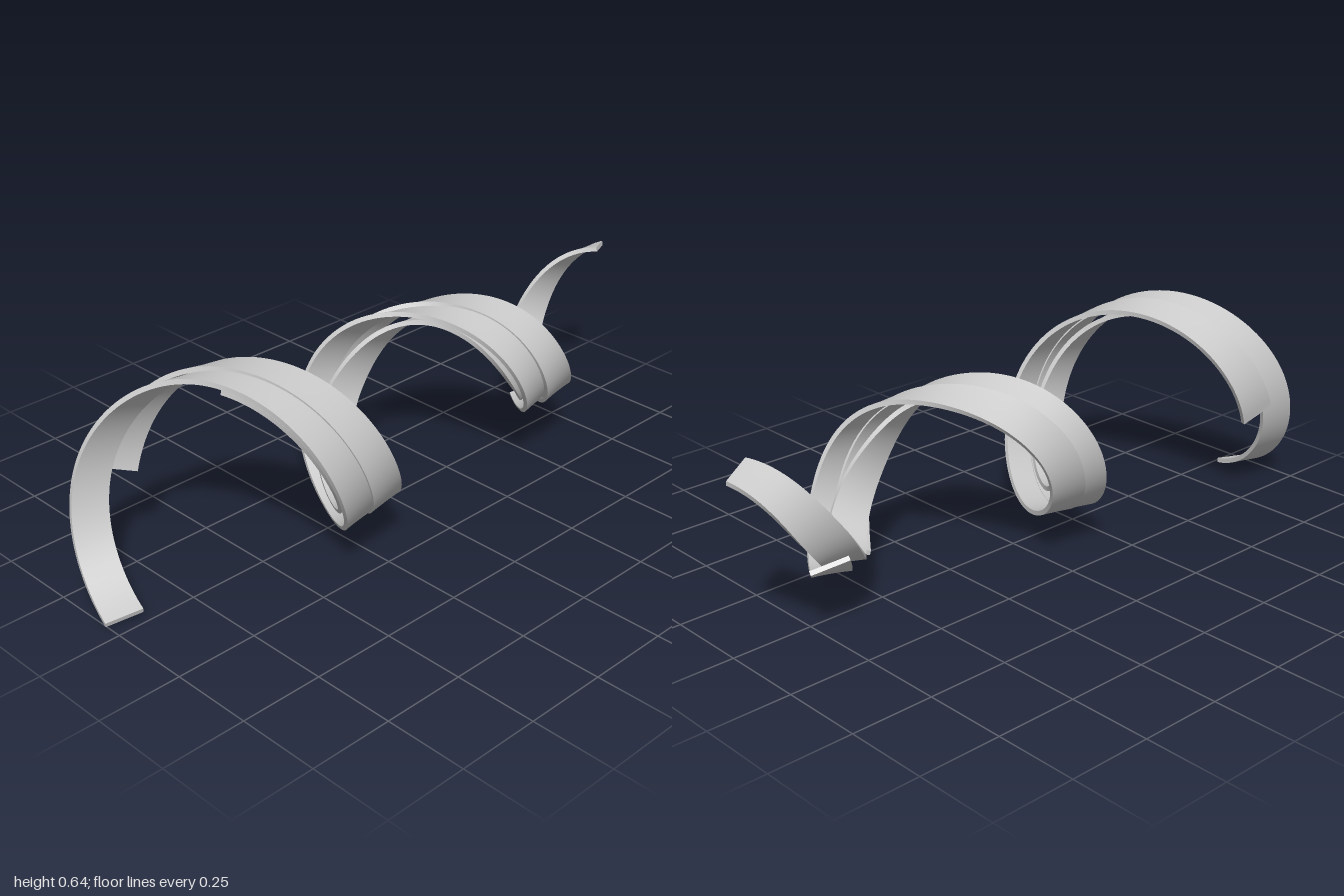
import * as THREE from 'three';

const WIDTH = 0.11, THICK = 0.014, AXIS_Y = 0.36, TILT = 0.12;

// Angle is in degrees: 0 = bottom, 90 = back, 180 = top, 270 = front.
function helixPoint(k, axisZ) {
  const a = THREE.MathUtils.degToRad(k.x);
  return new THREE.Vector3(k.y, AXIS_Y - k.z * Math.cos(a), axisZ - k.z * Math.sin(a));
}

// Sweeps a thin rectangle along a winding path; keys are [angle, x, outer radius].
function makeRibbon(name, keys, axisZ, material) {
  const curve = new THREE.CatmullRomCurve3(keys.map((k) => new THREE.Vector3(...k)));
  const steps = 200, positions = [], indices = [];
  const at = (t) => helixPoint(curve.getPoint(t), axisZ);
  const rings = [];
  for (let i = 0; i <= steps; i++) {
    const t = i / steps, p = at(t);
    const tangent = at(Math.min(1, t + 0.002)).sub(at(Math.max(0, t - 0.002))).normalize();
    const normal = new THREE.Vector3(0, p.y - AXIS_Y, p.z - axisZ).normalize();
    normal.addScaledVector(tangent, -normal.dot(tangent)).normalize();
    const side = normal.clone().cross(tangent);
    // lean the band inward along the taper
    const n = normal.clone().addScaledVector(side, TILT).normalize();
    const s = side.clone().addScaledVector(normal, -TILT).normalize();
    const corner = (u, v) => p.clone().addScaledVector(s, u * WIDTH / 2).addScaledVector(n, v * THICK);
    rings.push([corner(-1, -1), corner(1, -1), corner(1, 0), corner(-1, 0)]);
  }
  // four long faces with their own vertices, so the edges stay sharp
  for (let f = 0; f < 4; f++) {
    const base = positions.length / 3;
    rings.forEach((r) => positions.push(...r[f].toArray(), ...r[(f + 1) % 4].toArray()));
    for (let i = 0; i < steps; i++) {
      const a = base + 2 * i;
      indices.push(a, a + 1, a + 3, a, a + 3, a + 2);
    }
  }
  // end caps
  for (const ring of [[...rings[0]].reverse(), rings[steps]]) {
    const b = positions.length / 3;
    ring.forEach((c) => positions.push(...c.toArray()));
    indices.push(b, b + 1, b + 2, b, b + 2, b + 3);
  }
  const geometry = new THREE.BufferGeometry();
  geometry.setAttribute('position', new THREE.Float32BufferAttribute(positions, 3));
  geometry.setIndex(indices);
  geometry.computeVertexNormals();
  const mesh = new THREE.Mesh(geometry, material);
  mesh.name = name;
  return mesh;
}

export function createModel() {
  const group = new THREE.Group();
  group.name = 'spiralRibbons';
  const material = new THREE.MeshStandardMaterial({ color: 0xcccccc, side: THREE.DoubleSide });

  // outer ribbon, starting at the lowest point
  group.add(makeRibbon('leadingRibbon', [
    [7, -0.95, 0.348], [90, -0.84, 0.283], [180, -0.62, 0.28], [270, -0.43, 0.295], [360, -0.2, 0.272],
    [450, -0.04, 0.248], [540, 0.17, 0.208], [630, 0.37, 0.23], [710, 0.58, 0.2],
  ], 0, material));

  // outer ribbon beside it, starting a quarter turn later
  group.add(makeRibbon('trailingRibbon', [
    [78, -0.76, 0.297], [180, -0.52, 0.278], [270, -0.32, 0.287], [360, -0.11, 0.262],
    [450, 0.04, 0.24], [540, 0.29, 0.204], [630, 0.47, 0.228], [720, 0.68, 0.198], [765, 0.765, 0.175],
  ], 0, material));

  // narrower inner ribbon, running to the far end
  group.add(makeRibbon('innerRibbon', [
    [180, -0.6, 0.255], [270, -0.41, 0.23], [360, -0.2, 0.225], [450, -0.02, 0.165],
    [540, 0.18, 0.19], [630, 0.38, 0.158], [720, 0.61, 0.185], [810, 0.81, 0.155], [892, 0.96, 0.18],
  ], 0.015, material));

  return group;
}
